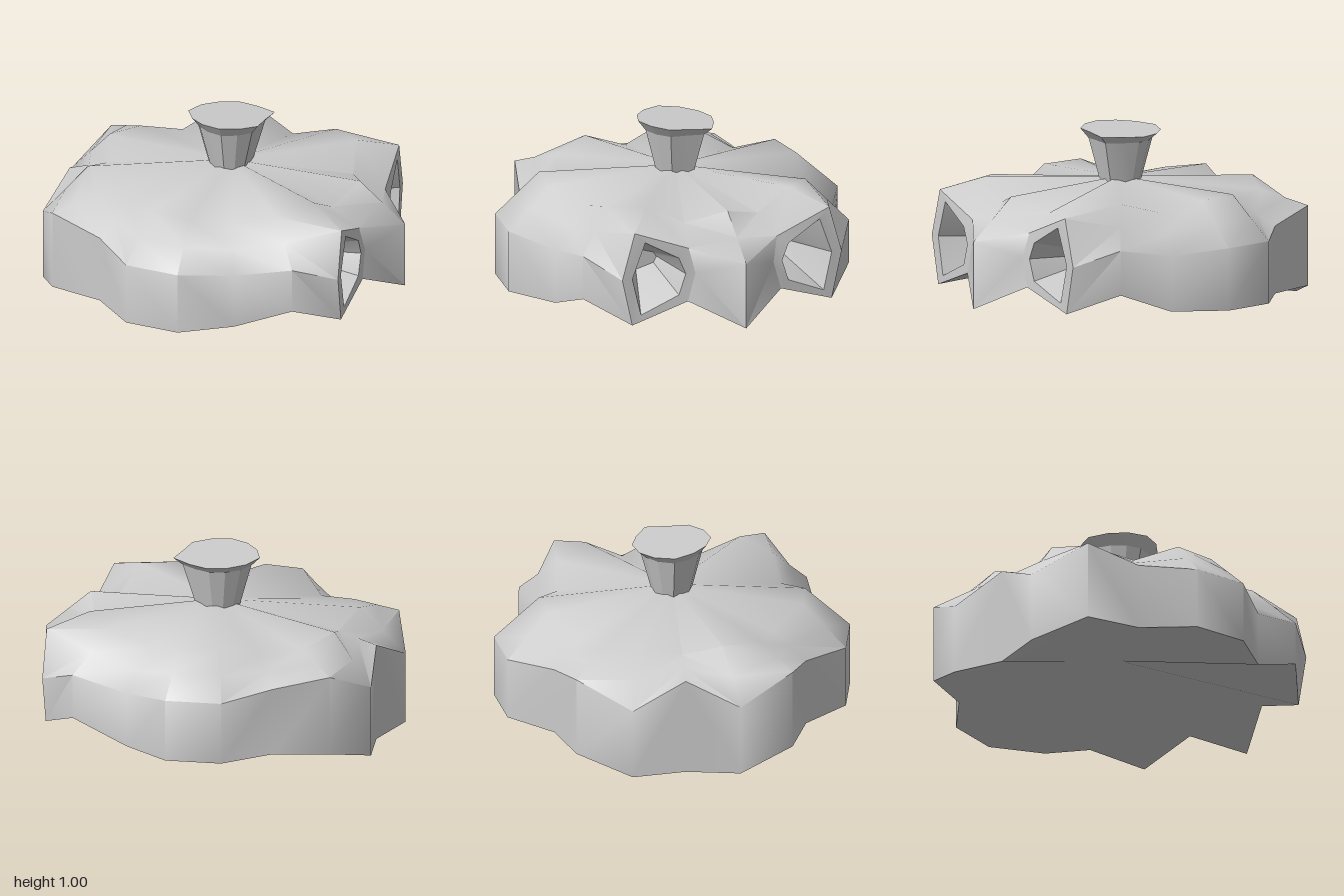
import * as THREE from 'three';
import { toCreasedNormals } from 'three/addons/utils/BufferGeometryUtils.js';

const material = new THREE.MeshStandardMaterial({ color: 0xcccccc });

// Triangle collector; quads and fans are counter-clockwise seen from outside
class Faces {
  constructor() { this.tris = []; }
  tri(a, b, c) { this.tris.push([a, b, c]); }
  quad(a, b, c, d) { this.tri(a, b, c); this.tri(a, c, d); }
  mirrorZ() {
    const flip = ([x, y, z]) => [x, y, -z];
    this.tris.push(...this.tris.map(([a, b, c]) => [flip(a), flip(c), flip(b)]));
    return this;
  }
  mesh(name, crease) {
    const geo = new THREE.BufferGeometry();
    geo.setAttribute('position', new THREE.Float32BufferAttribute(this.tris.flat(2), 3));
    const mesh = new THREE.Mesh(toCreasedNormals(geo, crease), material);
    mesh.name = name;
    return mesh;
  }
}

const lerp = (a, b, t) => a.map((v, i) => v + (b[i] - v) * t);

// Half of the lobed body from the +x ridge round to the back:
// each column runs from the base, up the wall, over the shoulder to the rim
const wall = (x, z, y0, y1, rim) => {
  const mid = [x, y1, z];
  return [[x, y0, z], mid, lerp(mid, rim, 0.5), rim];
};
const columns = [
  wall(1, 0, 0.075, 0.45, [0.74, 0.68, 0]),
  [[0.835, 0.22, 0.28], [0.835, 0.38, 0.235], [0.81, 0.52, 0.265], [0.64, 0.61, 0.22]],
  [[0.8, 0.11, 0.6], [0.8, 0.38, 0.66], [0.8, 0.645, 0.585], [0.6, 0.72, 0.43]],
  wall(0.575, 0.8, 0.22, 0.47, [0.43, 0.69, 0.6]),
  wall(0.25, 0.83, 0.1, 0.41, [0.18, 0.62, 0.62]),
  wall(-0.03, 0.99, 0.1, 0.45, [-0.03, 0.68, 0.74]),
  wall(-0.34, 0.94, 0.1, 0.45, [-0.26, 0.69, 0.71]),
  wall(-0.56, 0.7, 0.1, 0.48, [-0.43, 0.61, 0.53]),
  wall(-0.86, 0.6, 0.1, 0.55, [-0.65, 0.64, 0.45]),
  wall(-1, 0.3, 0.01, 0.41, [-0.76, 0.68, 0.22]),
  wall(-0.93, 0, 0, 0.55, [-0.71, 0.61, 0]),
];

function makeBody() {
  const f = new Faces();
  const top = [0, 0.72, 0], base = [0, 0.31, 0]; // underside is hollowed
  for (let i = 0; i < columns.length - 1; i++) {
    const a = columns[i], b = columns[i + 1];
    for (let k = 0; k < 3; k++) {
      if (i === 1 && k < 2) continue; // opening for the eye socket
      f.quad(a[k], a[k + 1], b[k + 1], b[k]);
    }
    f.tri(top, b[3], a[3]);
    f.tri(base, a[0], b[0]);
  }
  return f.mirrorZ().mesh('body', 0.95);
}

// Hexagonal eye frames with pockets that narrow inward
function makeEyes() {
  const f = new Faces();
  const [inside, outside] = [columns[1], columns[2]];
  const outer = [outside[0], outside[1], outside[2], inside[2], inside[1], inside[0]];
  const inner = [[0.55, 0.165], [0.6, 0.38], [0.525, 0.585], [0.33, 0.475], [0.29, 0.38], [0.33, 0.26]]
    .map(([z, y]) => [0.8 + (0.6 - z) * 0.09, y, z]);
  const deep = inner.map(([, y, z]) => [0.45, 0.36 + (y - 0.36) * 0.28, 0.32 + (z - 0.32) * 0.48]);
  for (let i = 0; i < 6; i++) {
    const j = (i + 1) % 6;
    f.quad(outer[i], inner[i], inner[j], outer[j]);
    f.quad(inner[i], deep[i], deep[j], inner[j]);
    f.tri([0.45, 0.36, 0.38], deep[j], deep[i]);
  }
  return f.mirrorZ().mesh('eyeSockets', 0.4);
}

// Flared, slightly irregular stalk with a tilted flat top
function makeStem() {
  const f = new Faces();
  const wobble = [0.95, 1.04, 1.0, 1.02, 0.98, 1.0, 1.11, 1.05, 1.02, 1.03, 1.02, 1.2];
  const n = wobble.length;
  const ring = (r, y, tilt) => wobble.map((w, i) => {
    const t = (i / n) * Math.PI * 2;
    const z = r * w * Math.sin(t);
    return [r * w * Math.cos(t) - 0.01, y + z * tilt, z];
  });
  const rings = [ring(0.11, 0.7, 0), ring(0.17, 0.935, 0.02), ring(0.215, 0.985, 0.07)];
  for (let i = 0; i < n; i++) {
    const j = (i + 1) % n;
    for (let k = 0; k < 2; k++) f.quad(rings[k][i], rings[k + 1][i], rings[k + 1][j], rings[k][j]);
    f.tri([-0.01, 0.985, 0], rings[2][j], rings[2][i]);
  }
  return f.mesh('stem', 0.3);
}

export function createModel() {
  const group = new THREE.Group();
  group.name = 'carvedGourd';
  group.add(makeBody(), makeEyes(), makeStem());
  return group;
}
